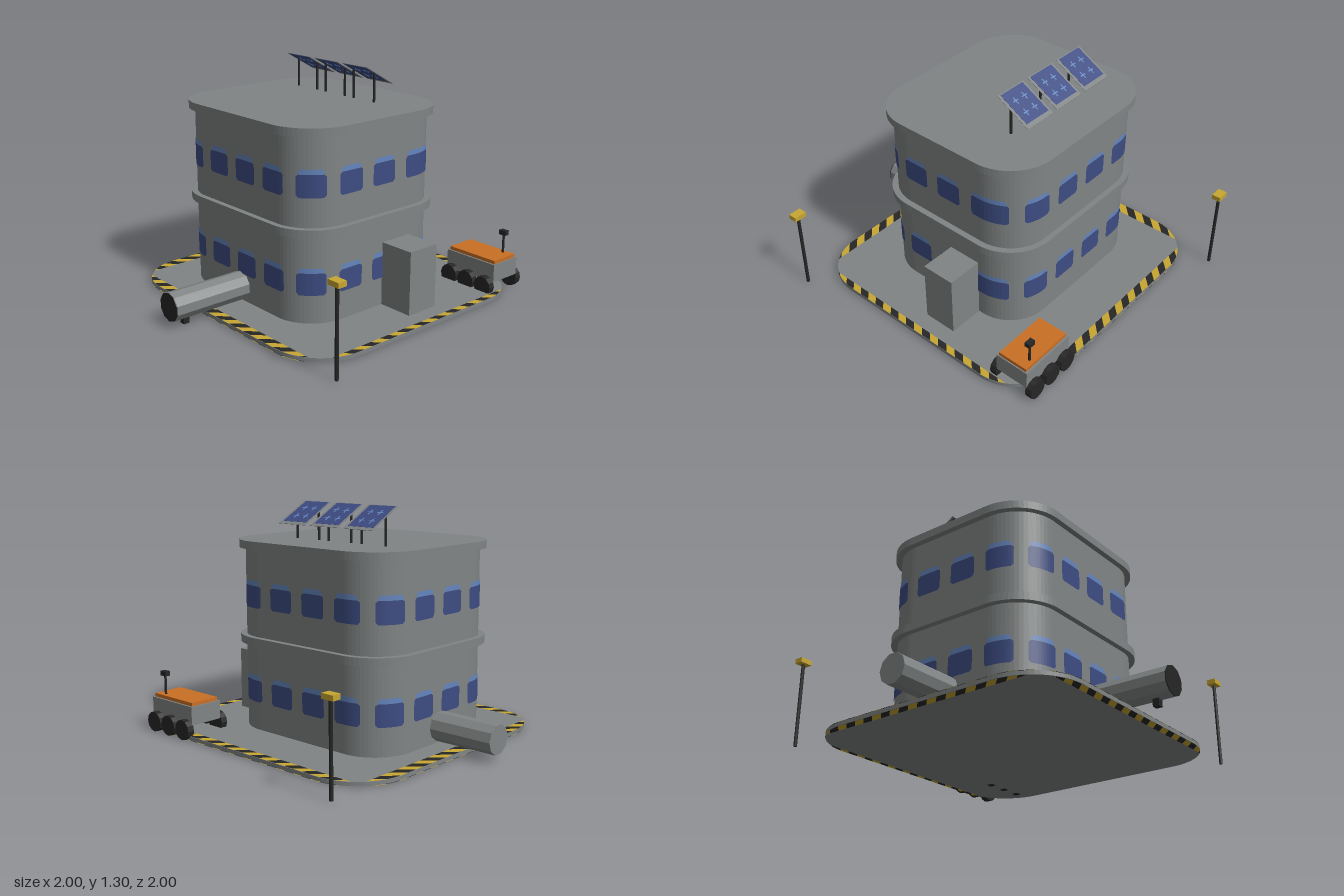
import * as THREE from 'three';
import { mergeGeometries } from 'three/addons/utils/BufferGeometryUtils.js';

const mat = (name, color, side = THREE.FrontSide) =>
  Object.assign(new THREE.MeshStandardMaterial({ color, side }), { name });

export function createModel() {
  const model = new THREE.Group();
  const gray = mat('concrete gray', 0x808484);
  const black = mat('black', 0x262626, THREE.DoubleSide);
  const yellow = mat('hazard yellow', 0xc8a632, THREE.DoubleSide);
  const orange = mat('orange', 0xc96f24);
  const navy = mat('dark blue glass', 0x3d4c82);
  const sky = mat('light blue', 0x6586be);

  const add = (name, geo, material, x = 0, y = 0, z = 0, parent = model) => {
    const mesh = new THREE.Mesh(geo, material);
    mesh.name = name;
    mesh.position.set(x, y, z);
    parent.add(mesh);
    return mesh;
  };
  // box given by its limits
  const box = (name, m, x0, x1, y0, y1, z0, z1, parent = model) =>
    add(name, new THREE.BoxGeometry(x1 - x0, y1 - y0, z1 - z0), m,
      (x0 + x1) / 2, (y0 + y1) / 2, (z0 + z1) / 2, parent);
  const post = (name, x, z, y0, y1, r, parent = model) =>
    add(name, new THREE.CylinderGeometry(r, r, y1 - y0, 8), black, x, (y0 + y1) / 2, z, parent);

  const roundedRect = (hx, hz, r) => {
    const s = new THREE.Shape();
    s.absarc(hx - r, hz - r, r, 0, Math.PI / 2);
    s.absarc(r - hx, hz - r, r, Math.PI / 2, Math.PI);
    s.absarc(r - hx, r - hz, r, Math.PI, Math.PI * 1.5);
    s.absarc(hx - r, r - hz, r, Math.PI * 1.5, Math.PI * 2);
    s.closePath();
    return s;
  };
  const slab = (name, cx, cz, hx, hz, r, y0, y1) => {
    const geo = new THREE.ExtrudeGeometry(roundedRect(hx, hz, r),
      { depth: y1 - y0, bevelEnabled: false, curveSegments: 8 });
    add(name, geo.rotateX(-Math.PI / 2), gray, cx, y0, cz);
  };

  // ground pad
  const PX = 0.0225, PZ = -0.0325, PHX = 0.8325, PHZ = 0.8025;
  slab('groundPad', PX, PZ, PHX, PHZ, 0.3, 0.006, 0.027);

  // hazard stripes along the pad edges, clipped to its rounded outline
  const outline = roundedRect(PHX, PHZ, 0.3).getPoints(8).map(p => [p.x + PX, p.y + PZ]);
  const clip = poly => {
    outline.forEach((a, i) => {
      const b = outline[(i + 1) % outline.length];
      if (Math.hypot(b[0] - a[0], b[1] - a[1]) < 1e-6) return;
      const d = p => (b[0] - a[0]) * (p[1] - a[1]) - (b[1] - a[1]) * (p[0] - a[0]);
      const out = [];
      poly.forEach((p, j) => {
        const q = poly[(j + 1) % poly.length], dp = d(p), dq = d(q);
        if (dp >= 0) out.push(p);
        if (dp * dq < 0) {
          const t = dp / (dp - dq);
          out.push([p[0] + t * (q[0] - p[0]), p[1] + t * (q[1] - p[1])]);
        }
      });
      poly = out;
    });
    return poly;
  };
  const stripes = [[], []];
  const hazardStrip = (alongX, e0, e1, y, up) => {
    for (let k = -32; k < 32; k++) {
      const c0 = k * 0.062, c1 = c0 + 0.062;
      let poly = [[c0 - e0, e0], [c1 - e0, e0], [c1 - e1, e1], [c0 - e1, e1]];
      if (!alongX) poly = poly.map(([u, v]) => [v, u]);
      poly = clip(poly);
      const flip = alongX === up;
      for (let i = 1; i + 1 < poly.length; i++) {
        const tri = flip ? [poly[0], poly[i + 1], poly[i]] : [poly[0], poly[i], poly[i + 1]];
        stripes[k & 1].push(...tri.flatMap(([x, z]) => [x, y, z]));
      }
    }
  };
  hazardStrip(true, -0.84, -0.78, 0.029, true);
  hazardStrip(true, 0.71, 0.775, 0.029, true);
  hazardStrip(false, -0.815, -0.74, 0.029, true);
  hazardStrip(false, 0.815, 0.86, 0.029, true);
  hazardStrip(true, -0.84, -0.81, 0.004, false);
  hazardStrip(true, 0.72, 0.775, 0.004, false);
  hazardStrip(false, -0.815, -0.76, 0.004, false);
  const faces = pos => {
    const g = new THREE.BufferGeometry();
    g.setAttribute('position', new THREE.Float32BufferAttribute(pos, 3));
    g.computeVertexNormals();
    return g;
  };
  add('yellowStripes', faces(stripes[0]), yellow);
  add('blackStripes', faces(stripes[1]), black);

  // two storeys with projecting ledges
  const CX = -0.055, CZ = 0.0165, HX = 0.5625, HZ = 0.506, R = 0.24;
  for (const [i, y] of [0.025, 0.56].entries()) {
    slab(['lowerStorey', 'upperStorey'][i], CX, CZ, HX, HZ, R, y, y + 0.49);
    slab(['middleLedge', 'roofLedge'][i], CX, CZ, 0.598, 0.538, 0.27, y + 0.49, y + 0.535);
  }

  // point on the wall at distance s from the middle of the front, going to +x
  const ax = HX - R, az = HZ - R, q = Math.PI * R / 2;
  const runs = [ax, q, 2 * az, q, 2 * ax, q, 2 * az, q, ax];
  const total = runs.reduce((a, b) => a + b);
  const wall = (s, off) => {
    s = ((s % total) + total) % total;
    let x = 0, z = HZ, h = 0;
    for (let i = 0; i < runs.length; i++) {
      const t = Math.min(s, runs[i]);
      if (i % 2) {
        x -= R * Math.sin(h); z -= R * Math.cos(h);
        h += t / R;
        x += R * Math.sin(h); z += R * Math.cos(h);
      } else {
        x += t * Math.cos(h); z -= t * Math.sin(h);
      }
      s -= t;
      if (s <= 1e-9) break;
    }
    return [CX + x + off * Math.sin(h), CZ + z + off * Math.cos(h)];
  };
  // curved pane with cut lower (and optionally upper) corners
  const pane = (s, half, y0, y1, cutLow, cutHigh) => {
    const us = [-half, 0.014 - half];
    for (let i = 1; i < 8; i++) us.push((half - 0.014) * (i / 4 - 1));
    us.push(half - 0.014, half);
    const pos = [];
    for (let i = 0; i + 1 < us.length; i++) {
      const [a, b] = [i, i + 1].map(j => {
        const end = j === 0 || j === us.length - 1 ? 1 : 0;
        const [x, z] = wall(s + us[j], 0.004);
        return [[x, y0 + end * cutLow, z], [x, y1 - end * cutHigh, z]];
      });
      pos.push(...a[0], ...b[0], ...b[1], ...a[0], ...b[1], ...a[1]);
    }
    return faces(pos);
  };
  const windows = [-0.407, -0.1735, 0.06, 0.2935, 0.527, 0.765, 1.003].map(s => [s, 0.08]);
  windows.push([1.281, 0.113]);
  for (let i = 0; i < 8; i++) windows.push([1.5555 + i * 0.238, 0.08]);
  const glass = [], glare = [];
  for (const y of [0.187, 0.722]) {
    for (const [s, half] of windows) {
      glass.push(pane(s, half, y, y + 0.124, 0.014, 0.01));
      glare.push(pane(s, half - 0.012, y + 0.124, y + 0.152, 0, 0.012));
    }
  }
  add('windowPanes', mergeGeometries(glass), navy);
  add('windowTops', mergeGeometries(glare), sky);

  // connecting tubes and side annex
  const tube = (r, len) => new THREE.CylinderGeometry(r, r, len, 10).toNonIndexed();
  const flat = g => { g.computeVertexNormals(); return g; };
  add('sideTube', flat(tube(0.083, 0.45).rotateZ(Math.PI / 2)), gray, -0.775, 0.118, 0.01);
  add('frontTube', flat(tube(0.081, 0.5).rotateX(Math.PI / 2)), gray, CX, 0.116, 0.745);
  add('frontTubeHatch', flat(tube(0.081, 0.005).rotateX(Math.PI / 2)), black, CX, 0.116, 0.9975);
  box('frontTubeFoot', black, CX - 0.018, CX + 0.018, 0, 0.05, 0.885, 0.92);
  box('annex', gray, 0.48, 0.72, 0.02, 0.39, -0.222, -0.02);

  // corner lamps
  for (const [x, z] of [[-0.737, -0.97], [0.962, 0.727]]) {
    post('lampPost', x, z, 0, 0.485, 0.01);
    box('lampHead', yellow, x - 0.037, x + 0.037, 0.485, 0.513, z - 0.026, z + 0.026);
  }

  // roof solar panels, sloping down to the back
  for (const x of [-0.338, -0.096, 0.143]) {
    const panel = new THREE.Group();
    panel.name = 'solarPanel';
    panel.position.set(x, 1.243, -0.242);
    panel.rotation.x = -0.511;
    model.add(panel);
    box('panelFrame', gray, -0.102, 0.102, -0.001, 0.001, -0.117, 0.117, panel);
    box('panelCells', navy, -0.09, 0.085, -0.002, 0.002, -0.092, 0.112, panel);
    for (const px of [-0.037, 0.033]) for (const pz of [-0.035, 0.045]) {
      box('cellMark', sky, px - 0.02, px + 0.02, -0.003, 0.003, pz - 0.004, pz + 0.004, panel);
      box('cellMark', sky, px - 0.004, px + 0.004, -0.003, 0.003, pz - 0.023, pz + 0.023, panel);
    }
    for (const dx of [-0.083, 0.083]) post('panelPost', x + dx, -0.215, 1.09, 1.256, 0.007);
  }

  // six-wheeled rover
  const rover = new THREE.Group();
  rover.name = 'rover';
  model.add(rover);
  box('roverBody', gray, 0.46, 0.807, 0.085, 0.19, -0.82, -0.617, rover);
  box('roverDeck', orange, 0.47, 0.8, 0.19, 0.21, -0.808, -0.628, rover);
  for (const x of [0.507, 0.632, 0.757]) for (const z of [-0.596, -0.835]) {
    add('wheel', flat(new THREE.CylinderGeometry(0.058, 0.058, 0.04, 12).toNonIndexed()
      .rotateX(Math.PI / 2)), black, x, 0.058, z, rover);
  }
  post('roverMast', 0.738, -0.78, 0.21, 0.325, 0.007, rover);
  box('roverCamera', black, 0.715, 0.76, 0.318, 0.345, -0.796, -0.765, rover);

  return model;
}
